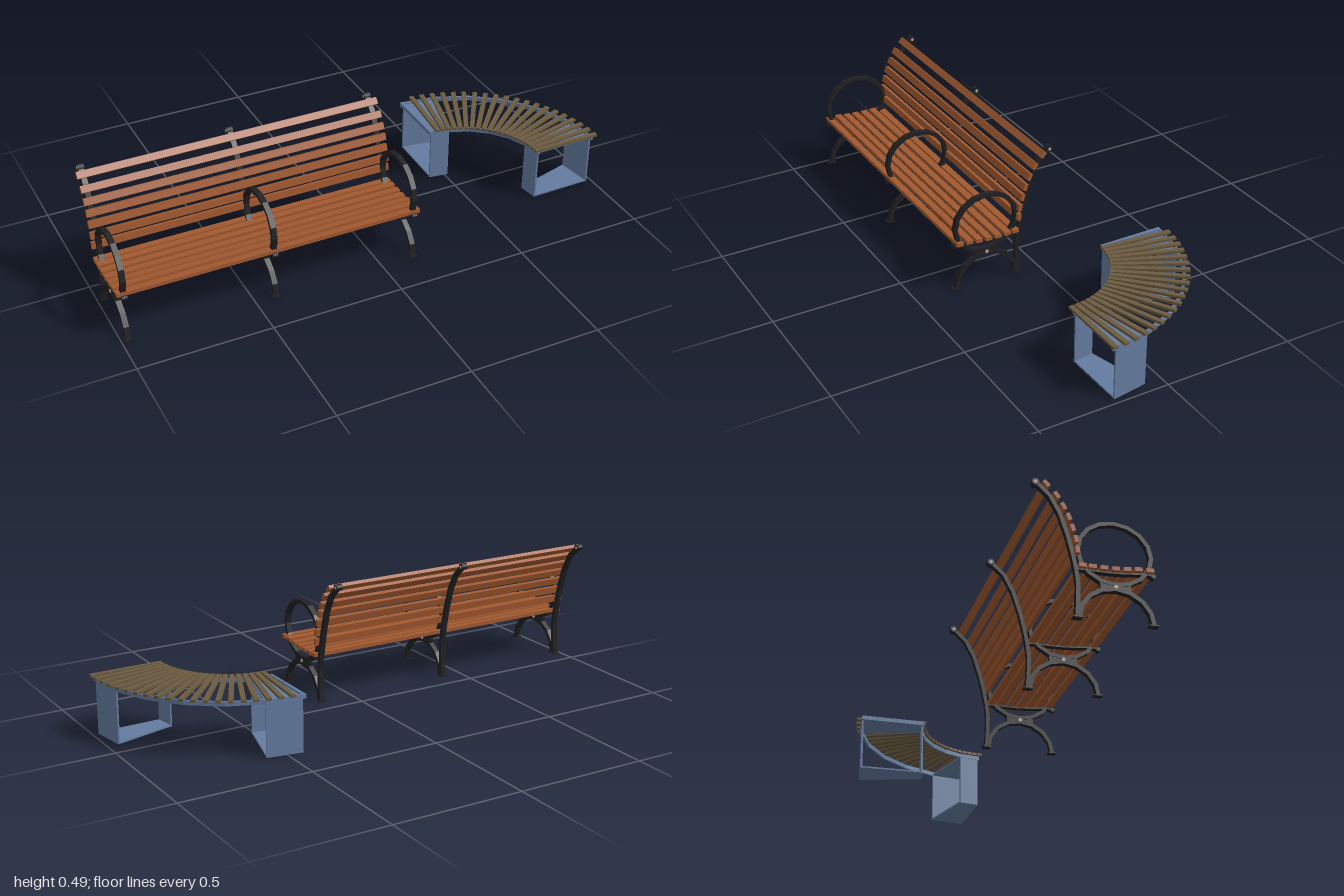
import * as THREE from 'three';

const mat = (name, color) => {
  const m = new THREE.MeshStandardMaterial({ color });
  m.name = name;
  return m;
};

export function createModel() {
  const wood = mat('reddish wood', 0xa0582f);
  const iron = mat('black iron', 0x202022);
  const bolt = mat('bolt metal', 0xc4a8a2);
  const steel = mat('blue steel', 0x647ca0);
  const olive = mat('weathered wood', 0x6b5b40);

  const model = new THREE.Group();
  const add = (parent, name, geometry, material) => {
    const m = new THREE.Mesh(geometry, material);
    m.name = name;
    parent.add(m);
    return m;
  };
  const group = (name, parent) => {
    const g = new THREE.Group();
    g.name = name;
    parent.add(g);
    return g;
  };

  // Extrude a side profile (z, y) across x, centred on x = 0
  const profile = (shape, width) =>
    new THREE.ExtrudeGeometry(shape, { depth: width, bevelEnabled: false })
      .translate(0, 0, -width / 2).rotateY(-Math.PI / 2);

  // Bar of constant thickness following a line of (z, y) points
  const bar = (pts, thick, width) => {
    const left = [], right = [];
    pts.forEach(([z, y], i) => {
      const a = pts[Math.max(i - 1, 0)], b = pts[Math.min(i + 1, pts.length - 1)];
      const dz = b[0] - a[0], dy = b[1] - a[1], k = thick / 2 / Math.hypot(dz, dy);
      left.push(new THREE.Vector2(z - dy * k, y + dz * k));
      right.unshift(new THREE.Vector2(z + dy * k, y - dz * k));
    });
    return profile(new THREE.Shape([...left, ...right]), width);
  };

  const ellipse = (cy, rz, ry, from, to, n) => Array.from({ length: n + 1 }, (_, i) => {
    const t = from + (to - from) * i / n;
    return [0.213 + rz * Math.cos(t), cy + ry * Math.sin(t)];
  });
  const vecs = pts => pts.map(p => new THREE.Vector2(...p));
  const roll = (z, y, r, w) =>
    new THREE.CylinderGeometry(r, r, w, 12).rotateZ(Math.PI / 2).translate(0, y, z);

  // ---- Straight park bench ----
  const bench = group('parkBench', model);
  const W = 0.02;
  const post = [[0.08, 0], [0.085, 0.06], [0.087, 0.12], [0.082, 0.17], [0.072, 0.225],
    [0.057, 0.29], [0.032, 0.37], [0, 0.432], [-0.046, 0.475]];
  const rail = [[0.343, 0.18], [0.325, 0.184], [0.29, 0.182], [0.25, 0.177], [0.2, 0.174], [0.085, 0.174]];
  const loop = new THREE.Shape(vecs(ellipse(0.2445, 0.132, 0.119, 0, 2 * Math.PI, 16).slice(0, -1)));
  loop.holes.push(new THREE.Path(vecs(ellipse(0.2445, 0.117, 0.105, 0, 2 * Math.PI, 16).slice(0, -1))));
  const hub = new THREE.Shape(vecs([[0.265, 0.106], [0.265, 0.142], [0.22, 0.133], [0.206, 0.133],
    [0.161, 0.142], [0.161, 0.106], [0.206, 0.115], [0.22, 0.115]]));

  for (const x of [-0.975, -0.42, 0.13]) {
    const frame = group('ironFrame', bench);
    frame.position.x = x;
    add(frame, 'backPost', bar(post, 0.014, W), iron);
    add(frame, 'postRoll', roll(-0.048, 0.476, 0.0125, W + 0.004), iron);
    add(frame, 'postRollCap', roll(-0.048, 0.476, 0.006, W + 0.006), bolt);
    add(frame, 'armLoop', profile(loop, W), iron);
    add(frame, 'legArch', bar(ellipse(0, 0.125, 0.117, 0, Math.PI, 8), 0.015, W), iron);
    add(frame, 'hub', profile(hub, W * 0.8), iron);
    add(frame, 'hubBolt', roll(0.213, 0.124, 0.007, W + 0.004), bolt);
    add(frame, 'seatRail', bar(rail, 0.007, W), iron);
    add(frame, 'railRoll', roll(0.343, 0.18, 0.008, W), iron);
    for (const z of [0.337, 0.083])
      add(frame, 'foot', new THREE.BoxGeometry(W * 1.3, 0.004, 0.031).translate(0, 0.002, z), iron);
  }

  // Slats, each tilted along the curve through its neighbours
  const slats = (name, pts) => pts.forEach(([z, y], i) => {
    const a = pts[Math.max(i - 1, 0)], b = pts[Math.min(i + 1, pts.length - 1)];
    const s = add(bench, name, new THREE.BoxGeometry(1.155, 0.014, 0.026), wood);
    s.position.set(-0.4225, y, z);
    s.rotation.x = Math.atan2(a[1] - b[1], b[0] - a[0]);
  });
  slats('seatSlat', [[0.327, 0.192], [0.288, 0.191], [0.25, 0.186], [0.211, 0.183],
    [0.172, 0.182], [0.133, 0.182], [0.1, 0.182]]);
  slats('backSlat', [[0.084, 0.236], [0.08, 0.274], [0.07, 0.314], [0.058, 0.353],
    [0.041, 0.39], [0.019, 0.428], [-0.015, 0.466]]);

  // ---- Quarter-round bench ----
  const curved = group('curvedBench', model);
  curved.position.set(0.43, 0, 0.213);
  const deg = Math.PI / 180;

  // Block between two radii and two angles (degrees from -z towards +x)
  const sector = (r0, r1, a0, a1, y, h, n) => {
    const pts = [];
    for (let i = 0; i <= n; i++) pts.push([r1, a0 + (a1 - a0) * i / n]);
    for (let i = n; i >= 0; i--) pts.push([r0, a0 + (a1 - a0) * i / n]);
    const shape = new THREE.Shape(pts.map(([r, a]) =>
      new THREE.Vector2(r * Math.sin(a * deg), r * Math.cos(a * deg))));
    return new THREE.ExtrudeGeometry(shape, { depth: h, bevelEnabled: false })
      .rotateX(-Math.PI / 2).translate(0, y, 0);
  };

  add(curved, 'innerRail', sector(0.303, 0.312, 0, 90, 0.197, 0.016, 6), steel);
  add(curved, 'outerRail', sector(0.543, 0.552, 0, 90, 0.197, 0.016, 6), steel);

  // Hollow box legs at both ends
  for (const [a0, a1] of [[1.3, 15.5], [74.5, 88.7]]) {
    const leg = group('boxLeg', curved);
    add(leg, 'innerPanel', sector(0.305, 0.312, a0, a1, 0, 0.2, 1), steel);
    add(leg, 'outerPanel', sector(0.543, 0.55, a0, a1, 0, 0.2, 1), steel);
    add(leg, 'basePlate', sector(0.312, 0.543, a0, a1, 0, 0.006, 1), steel);
    add(leg, 'topPlate', sector(0.312, 0.543, a0, a1, 0.198, 0.007, 1), steel);
  }
  add(curved, 'endBar', sector(0.312, 0.543, 0, 1.5, 0.197, 0.016, 1), steel);

  // Radiating slats
  const count = 20;
  for (let i = 0; i < count; i++) {
    const s = add(curved, 'radialSlat',
      new THREE.BoxGeometry(0.018, 0.01, 0.275).translate(0, 0.218, -0.4275), olive);
    s.rotation.y = -(5.6 + (89.8 - 5.6) * i / (count - 1)) * deg;
  }

  return model;
}
